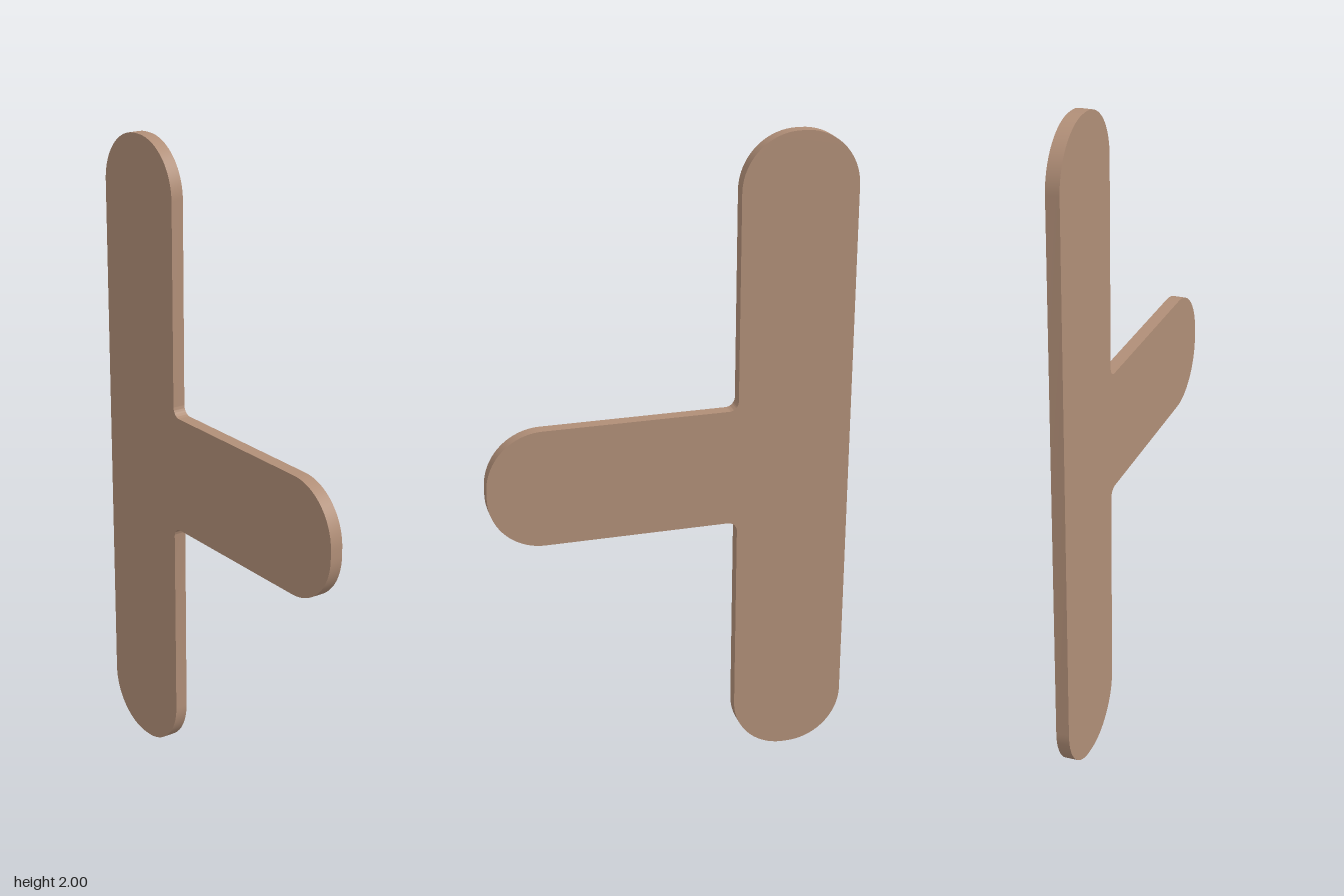
import * as THREE from 'three';
import { toCreasedNormals } from 'three/addons/utils/BufferGeometryUtils.js';

export function createModel() {
  const group = new THREE.Group();
  const tan = new THREE.MeshStandardMaterial({ color: 0xb08e77 });
  tan.name = 'tan';

  // Outline in the side plane: horizontal = z, vertical = y
  const back = -0.56, front = -0.205, tip = 0.56;
  const low = 0.805, high = 1.17, thickness = 0.04;
  const r = 0.17, fillet = 0.03;
  const H = Math.PI / 2;
  const s = new THREE.Shape();
  s.moveTo(back, r);
  s.absarc(back + r, r, r, Math.PI, 3 * H, false);
  s.absarc(front - r, r, r, -H, 0, false);
  // lower inner corner and arm end
  s.absarc(front + fillet, low - fillet, fillet, Math.PI, H, true);
  s.absarc(tip - r, low + r, r, -H, 0, false);
  s.absarc(tip - r, high - r, r, 0, H, false);
  // upper inner corner and bar top
  s.absarc(front + fillet, high + fillet, fillet, -H, -Math.PI, true);
  s.absarc(front - r, 2 - r, r, 0, H, false);
  s.absarc(back + r, 2 - r, r, H, Math.PI, false);
  s.closePath();

  // Flat plate, turned so the outline lies in the z-y plane
  const plate = new THREE.ExtrudeGeometry(s, { depth: thickness, bevelEnabled: false, curveSegments: 10 });
  plate.translate(0, 0, -thickness / 2);
  plate.rotateY(-H);
  const mesh = new THREE.Mesh(toCreasedNormals(plate, 0.6), tan);
  mesh.name = 'roundedTeePlate';
  group.add(mesh);
  return group;
}
